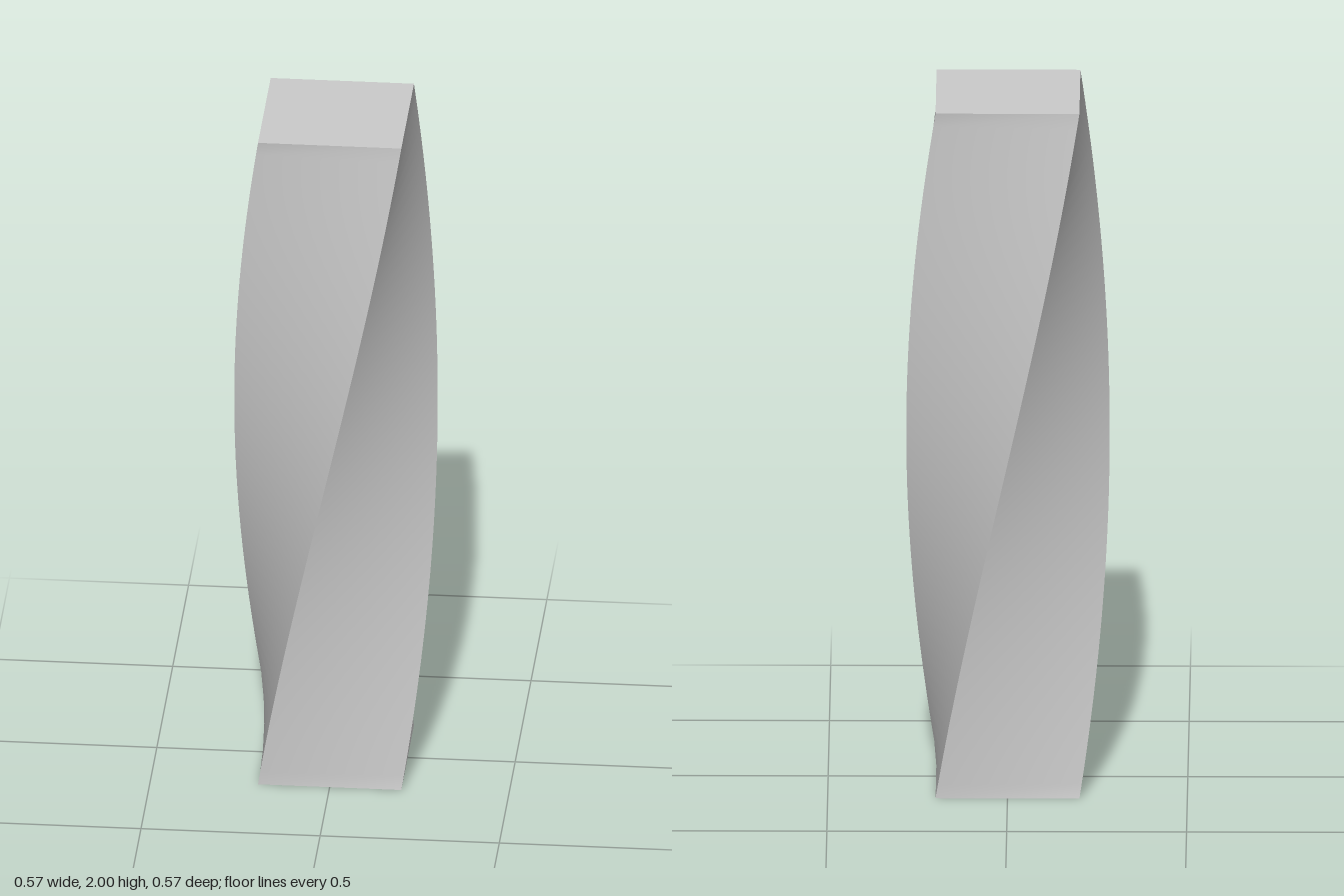
import * as THREE from 'three';

const HEIGHT = 2, WIDTH = 0.4, TWIST = Math.PI / 2, STEPS = 48;

// Square column whose cross-section turns evenly from bottom to top
function twistedBox() {
  const geometry = new THREE.BoxGeometry(WIDTH, HEIGHT, WIDTH, 1, STEPS, 1);
  geometry.translate(0, HEIGHT / 2, 0);
  const position = geometry.attributes.position;
  const axis = new THREE.Vector3(0, 1, 0);
  const p = new THREE.Vector3();
  for (let i = 0; i < position.count; i++) {
    p.fromBufferAttribute(position, i);
    p.applyAxisAngle(axis, TWIST * p.y / HEIGHT);
    position.setXYZ(i, p.x, p.y, p.z);
  }
  // Sides do not share vertices, so each is smooth and the corners stay sharp
  geometry.computeVertexNormals();
  return geometry;
}

export function createModel() {
  const group = new THREE.Group();
  group.name = 'twistedColumn';
  const column = new THREE.Mesh(twistedBox(), new THREE.MeshStandardMaterial({ color: 0xcccccc }));
  column.name = 'column';
  group.add(column);
  return group;
}
